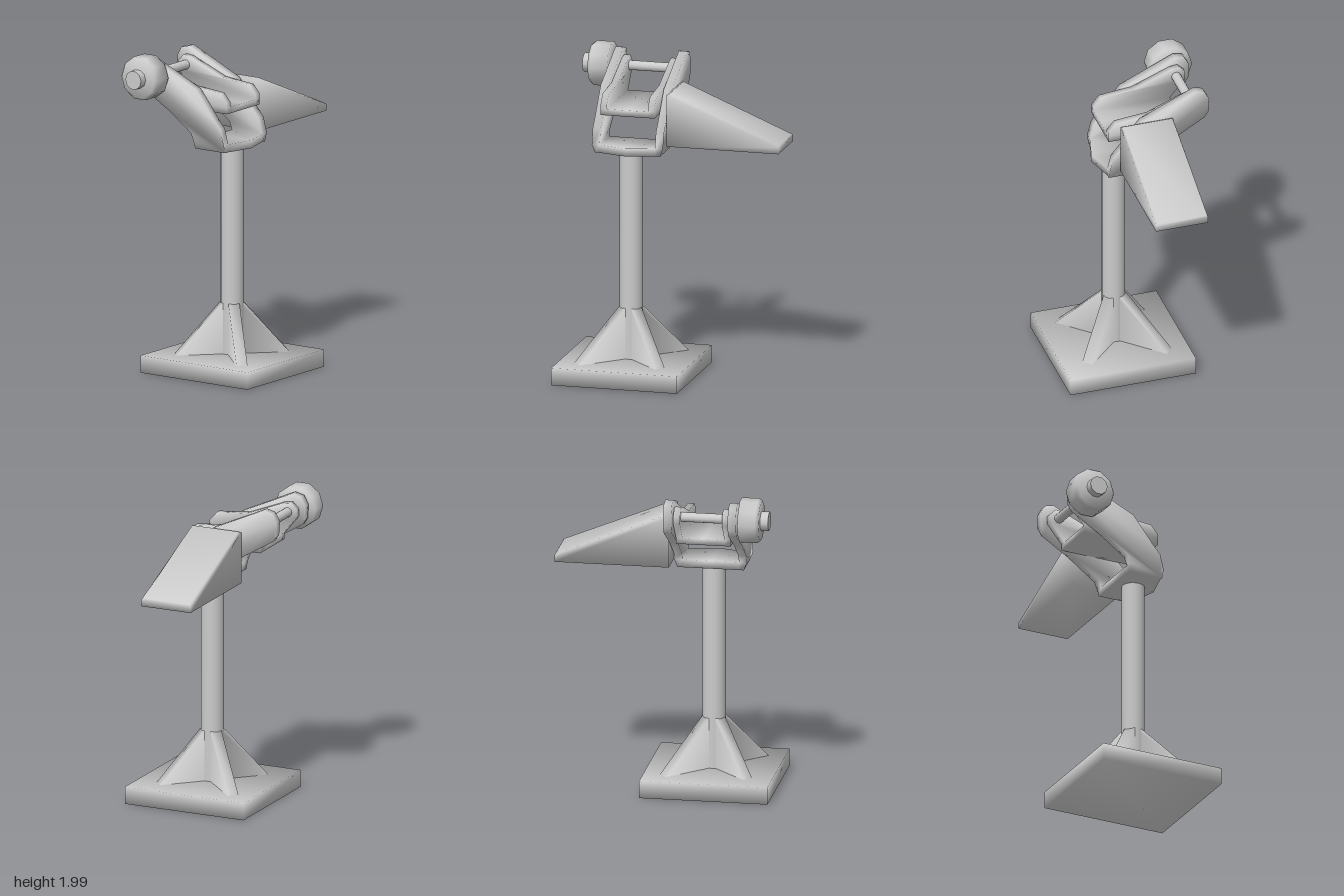
import * as THREE from 'three';
import { mergeVertices } from 'three/addons/utils/BufferGeometryUtils.js';

const material = new THREE.MeshStandardMaterial({ color: 0xcccccc });
const CX = -0.265, CZ = 0.092; // pole axis
const AXLE_Y = 1.86, AXLE_Z = -0.36; // hinge axis

// Welds a geometry and gives it soft normals, weighted by corner angle
function soften(geometry) {
  geometry.deleteAttribute('normal');
  geometry.deleteAttribute('uv');
  const welded = mergeVertices(geometry, 1e-4);
  const position = welded.attributes.position, index = welded.index;
  const sums = Array.from({ length: position.count }, () => new THREE.Vector3());
  for (let i = 0; i < index.count; i += 3) {
    const ids = [0, 1, 2].map((k) => index.getX(i + k));
    const [a, b, c] = ids.map((id) => new THREE.Vector3().fromBufferAttribute(position, id));
    const normal = new THREE.Triangle(a, b, c).getNormal(new THREE.Vector3());
    [[a, b, c], [b, c, a], [c, a, b]].forEach(([p, q, r], k) => {
      sums[ids[k]].addScaledVector(normal, q.clone().sub(p).angleTo(r.clone().sub(p)));
    });
  }
  const normals = sums.flatMap((n) => n.normalize().toArray());
  welded.setAttribute('normal', new THREE.Float32BufferAttribute(normals, 3));
  return welded;
}

function fromTriangles(corners) {
  const geometry = new THREE.BufferGeometry();
  geometry.setAttribute('position', new THREE.Float32BufferAttribute(corners.flat(), 3));
  return soften(geometry);
}

const quad = (a, b, c, d) => [a, b, c, a, c, d];

// U-shaped bracket: a floor and two arms across five x columns. The [z, y] outline
// runs along the floor from back to front (lower), then over the arm (upper).
function bracket(xs, lower, upper, chamfer, point) {
  const outline = [...lower, ...upper];
  const front = lower[lower.length - 1], back = lower[0];
  const bottom = lower[1][1];
  const at = ([z, y], col) => {
    const inset = y === bottom ? [chamfer, 0, 0, 0, -chamfer][col] : 0;
    const nose = col === 2 && z === front[0] ? point : 0;
    return [xs[col] + inset, y, z + nose];
  };
  const corners = [];
  const cap = (points, col, flip) => {
    const contour = points.map(([z, y]) => new THREE.Vector2(z, y));
    for (const face of THREE.ShapeUtils.triangulateShape(contour, [])) {
      const triangle = face.map((i) => at(points[i], col));
      corners.push(...(flip ? triangle.reverse() : triangle));
    }
  };
  const strip = (p, q, col) => {
    corners.push(...quad(at(p, col), at(p, col + 1), at(q, col + 1), at(q, col)));
  };
  const arm = [front, ...upper, back];
  cap(outline, 0, false);
  cap(arm, 1, true);
  cap(arm, 3, false);
  cap(outline, 4, true);
  for (let i = 0; i < arm.length - 1; i++) [0, 3].forEach((col) => strip(arm[i], arm[i + 1], col));
  for (let i = 0; i < lower.length - 1; i++) {
    [0, 1, 2, 3].forEach((col) => strip(lower[i], lower[i + 1], col));
  }
  [1, 2].forEach((col) => strip(front, back, col));
  return fromTriangles(corners);
}

// Four diagonal fins as one cross-shaped sleeve, narrowing upwards around the pole
function braceFins() {
  const half = 0.035;
  const ring = (y, lengths) => lengths.flatMap((length, k) => {
    const angle = Math.PI / 4 + k * Math.PI / 2;
    const c = Math.cos(angle), s = Math.sin(angle);
    return [[length, half], [length, -half], [half, -half]]
      .map(([r, w]) => [r * c + w * s, y, r * s - w * c]);
  });
  // Corner order within each fin: one tip, the other tip, then the valley to the next fin
  const order = (points) => points.map((_, i) => points[i]);
  const low = order(ring(0.11, [0.355, 0.39, 0.355, 0.39]));
  const high = order(ring(0.435, [0.068, 0.068, 0.068, 0.068]));
  const corners = low.flatMap((p, i) => {
    const j = (i + 1) % low.length;
    return quad(p, high[i], high[j], low[j]);
  });
  return fromTriangles(corners);
}

// Side wedge: straight walls, a small bevel, and a top sloping down outwards
function wedge() {
  const geometry = new THREE.BoxGeometry(1, 1, 1, 1, 2, 1);
  const p = geometry.attributes.position;
  for (let i = 0; i < p.count; i++) {
    const outer = p.getX(i) > 0, front = p.getZ(i) > 0;
    const level = Math.round(p.getY(i) * 2) + 1; // bottom, rim, top
    const inset = level === 2 ? 0.01 : 0;
    const y = outer ? [1.48, 1.522, 1.53][level] : [1.48, 1.808, 1.818][level];
    p.setXYZ(i, outer ? 0.69 - inset / 2 : -0.032 + inset * 2, y, front ? 0.12 - inset : -0.22 + inset);
  }
  return soften(geometry);
}

export function createModel() {
  const model = new THREE.Group();

  const add = (name, geometry, x = 0, y = 0, z = 0) => {
    const mesh = new THREE.Mesh(geometry, material);
    mesh.name = name;
    mesh.position.set(x, y, z);
    model.add(mesh);
  };

  // Cylinder lying along x on the hinge axis
  const rod = (name, radius, x0, x1, sides) => {
    const geometry = new THREE.CylinderGeometry(radius, radius, x1 - x0, sides).rotateZ(Math.PI / 2);
    add(name, geometry, (x0 + x1) / 2, AXLE_Y, AXLE_Z);
  };

  // Base, pole and braces
  add('base', soften(new THREE.BoxGeometry(0.81, 0.11, 0.82)), CX, 0.055, CZ);
  add('pole', new THREE.CylinderGeometry(0.073, 0.073, 1.36, 20), CX, 0.78, CZ);
  add('braceFins', braceFins(), CX, 0, CZ);

  // Outer fork with a pointed floor and arms leaning back
  add('fork', bracket(
    [-0.494, -0.443, CX, -0.087, -0.035],
    [[-0.04, 1.48], [-0.04, 1.43], [0.19, 1.43], [0.19, 1.48]],
    [[0.165, 1.58], [0.12, 1.63], [-0.02, 1.81], [-0.37, 1.97], [-0.43, 1.955],
      [-0.46, 1.9], [-0.455, 1.81], [-0.43, 1.77], [-0.22, 1.645], [-0.06, 1.53]],
    0.02, 0.047,
  ));

  // Inner cradle reaching up to the axle
  add('cradle', bracket(
    [-0.44, -0.4, CX, -0.135, -0.093],
    [[-0.32, 1.71], [-0.32, 1.67], [0.178, 1.67], [0.178, 1.71]],
    [[0.178, 1.74], [0.13, 1.795], [-0.08, 1.815], [-0.33, 1.915], [-0.38, 1.92],
      [-0.42, 1.88], [-0.42, 1.83]],
    0, 0,
  ));

  // Axle, knob and knob cap
  rod('axle', 0.03, -0.55, -0.04, 14);
  const knobProfile = [[0, -0.065], [0.14, -0.065], [0.14, 0.045], [0.125, 0.065], [0, 0.065]]
    .map(([r, h]) => new THREE.Vector2(r, h));
  const knob = new THREE.LatheGeometry(knobProfile, 10).rotateZ(Math.PI / 2);
  add('knob', soften(knob), -0.575, AXLE_Y, AXLE_Z);
  rod('knobCap', 0.06, -0.69, -0.63, 10);

  add('sideWedge', wedge());
  return model;
}
